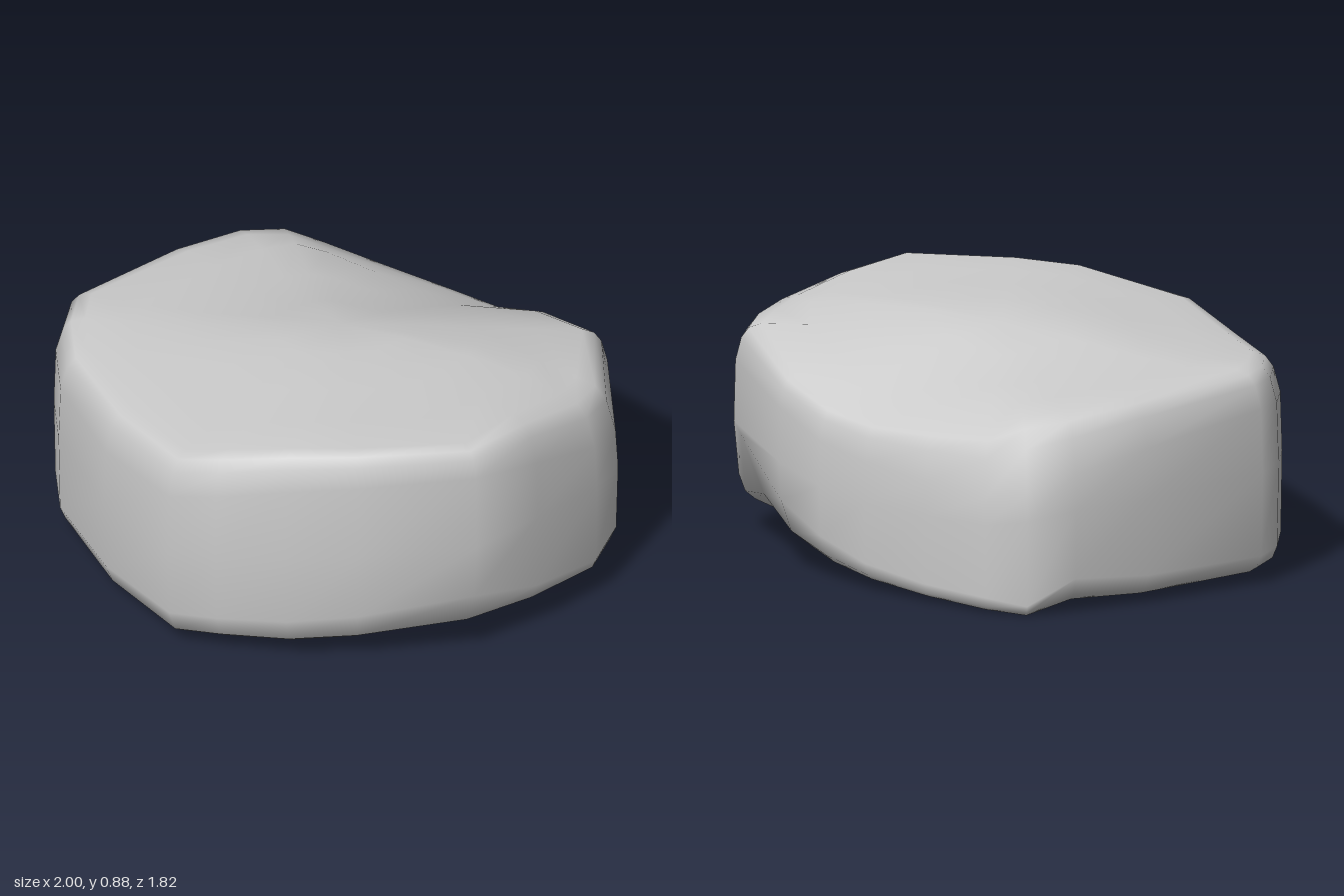
import * as THREE from 'three';

// Plan outline, counted round from the back corner:
// x, z, top shoulder height, underside height, shoulder inset, underside inset
const OUTLINE = [
  [-0.35, -0.91, 0.67, 0.00, 0.18, 0.03], [-0.20, -0.91, 0.62, 0.01, 0.16, 0.04],
  [0.05, -0.80, 0.60, 0.02, 0.13, 0.04], [0.30, -0.68, 0.59, 0.04, 0.10, 0.05],
  [0.50, -0.55, 0.61, 0.06, 0.09, 0.08], [0.68, -0.43, 0.68, 0.09, 0.08, 0.13],
  [0.92, -0.15, 0.80, 0.11, 0.10, 0.25], [1.00, 0.17, 0.79, 0.11, 0.15, 0.07],
  [0.95, 0.33, 0.81, 0.11, 0.14, 0.04], [0.78, 0.57, 0.86, 0.11, 0.12, 0.07],
  [0.60, 0.80, 0.88, 0.10, 0.08, 0.15], [0.20, 0.89, 0.87, 0.07, 0.09, 0.12],
  [-0.05, 0.91, 0.855, 0.05, 0.10, 0.11], [-0.30, 0.89, 0.81, 0.04, 0.11, 0.10],
  [-0.47, 0.865, 0.78, 0.03, 0.11, 0.10], [-0.74, 0.545, 0.74, 0.01, 0.12, 0.08],
  [-0.95, 0.20, 0.74, 0.04, 0.11, 0.05], [-1.00, -0.02, 0.75, 0.04, 0.11, 0.05],
  [-0.99, -0.19, 0.75, 0.04, 0.10, 0.05], [-0.70, -0.60, 0.72, 0.03, 0.13, 0.06],
  [-0.50, -0.82, 0.69, 0.04, 0.15, 0.07],
];
const BASE_CENTRE = 0.03;
const { lerp: mix, smoothstep } = THREE.MathUtils;

// Top surface: a raised front right area that slopes down to the back and left
const topHeight = (x, z) =>
  0.705 + 0.155 * smoothstep(z, -0.55, 0.2) * smoothstep(x, -0.9, 0.1) + 0.04 * Math.max(0, -x);

// Rings from underside to top: each rule gives outline scale, height and the
// blend towards the top surface, from the shoulder (top, t = inset) and the
// underside (base, b = inset)
const RINGS = [
  (top, base) => [0.50, mix(base, BASE_CENTRE, 0.7), 0],
  (top, base, t, b) => [1 - b, base, 0],
  (top, base, t, b) => [1 - 0.45 * b, base + 0.35 * b, 0],
  (top, base, t, b) => [1 - 0.1 * b, base + 1.2 * b, 0],
  (top, base) => [1, mix(base, top, 0.5), 0],
  (top, base, t) => [1 - 0.06 * t, top - 1.3 * t, 0],
  (top, base, t) => [1 - 0.28 * t, top - 0.5 * t, 0],
  (top, base, t) => [1 - 0.55 * t, top - 0.15 * t, 0],
  (top, base, t) => [1 - t, top, 0],
  (top) => [0.72, top, 0.6],
  (top) => [0.50, top, 0.9],
  (top) => [0.25, top, 1],
];

function boulderGeometry() {
  const n = OUTLINE.length, positions = [], index = [];
  for (const ring of RINGS)
    for (const [x, z, ...shape] of OUTLINE) {
      const [scale, y, blend] = ring(...shape);
      positions.push(x * scale, mix(y, topHeight(x * scale, z * scale), blend), z * scale);
    }
  const baseCentre = positions.length / 3, topCentre = baseCentre + 1;
  positions.push(0, BASE_CENTRE, 0, 0, topHeight(0, 0), 0);

  const last = (RINGS.length - 1) * n;
  for (let i = 0; i < n; i++) {
    const j = (i + 1) % n;
    // Walls between neighbouring rings
    for (let r = 0; r < last; r += n)
      index.push(r + i, r + n + i, r + j, r + j, r + n + i, r + n + j);
    // Underside and top caps
    index.push(baseCentre, i, j, topCentre, last + j, last + i);
  }
  const geometry = new THREE.BufferGeometry();
  geometry.setAttribute('position', new THREE.Float32BufferAttribute(positions, 3));
  geometry.setIndex(index);
  geometry.computeVertexNormals();
  return geometry;
}

export function createModel() {
  const group = new THREE.Group();
  group.name = 'rock';
  const boulder = new THREE.Mesh(
    boulderGeometry(),
    new THREE.MeshStandardMaterial({ color: 0xcccccc }),
  );
  boulder.name = 'boulder';
  group.add(boulder);
  return group;
}
